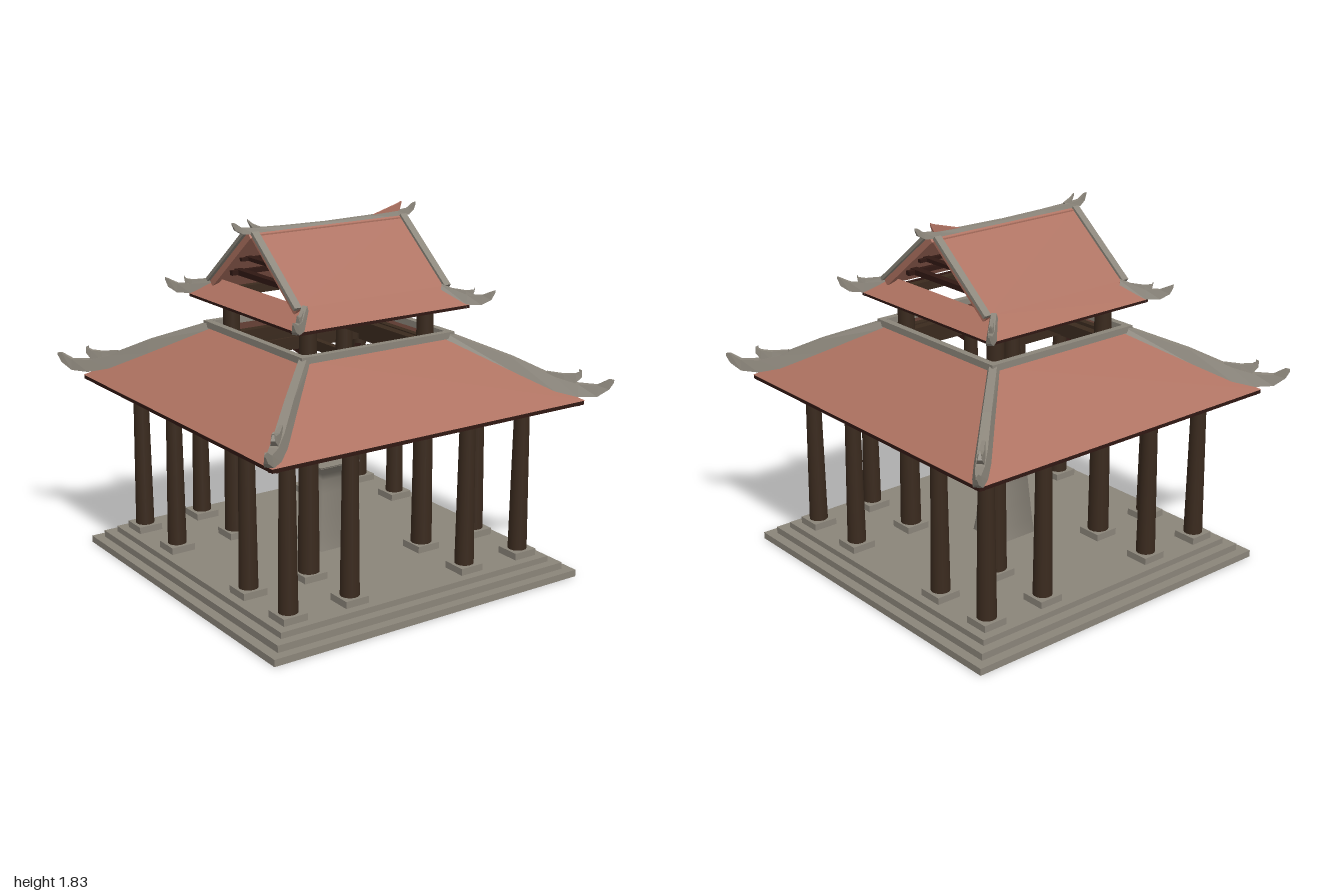
import * as THREE from 'three';

const mat = (name, color, side = THREE.FrontSide) => {
  const m = new THREE.MeshStandardMaterial({ color, side });
  m.name = name;
  return m;
};

export function createModel() {
  const stone = mat('stone', 0x8b857a, THREE.DoubleSide);
  const tile = mat('terracotta tile', 0xad7160, THREE.DoubleSide);
  const wood = mat('dark wood', 0x3a2a1e);
  const redWood = mat('dark red wood', 0x301813);

  const model = new THREE.Group();
  model.name = 'pavilion';

  const add = (name, geo, material, x = 0, y = 0, z = 0, parent = model) => {
    const mesh = new THREE.Mesh(geo, material);
    mesh.name = name;
    mesh.position.set(x, y, z);
    parent.add(mesh);
    return mesh;
  };
  // box between two heights
  const block = (name, material, w, d, y0, y1, x = 0, z = 0) =>
    add(name, new THREE.BoxGeometry(w, y1 - y0, d), material, x, (y0 + y1) / 2, z);

  // four-sided turned shape from [half width, height] points
  const squareLathe = profile => new THREE.LatheGeometry(
    profile.map(([r, y]) => new THREE.Vector2(r * Math.SQRT2, y)), 4).rotateY(Math.PI / 4);
  const flat = geo => {
    const g = geo.toNonIndexed();
    g.computeVertexNormals();
    return g;
  };

  // tapering bar along +x through sections [distance, base height, half width, height]
  const sweep = (sections, scale = 1) => {
    const rings = sections.map(([x, y, w, h]) => [
      [x * scale, y, -w], [x * scale, y, w], [x * scale, y + h, w * 0.6], [x * scale, y + h, -w * 0.6]]);
    const pos = [];
    const tri = (...pts) => pts.forEach(p => pos.push(...p));
    for (let s = 0; s + 1 < rings.length; s++) {
      const a = rings[s], b = rings[s + 1];
      for (let i = 0; i < 4; i++) {
        const j = (i + 1) % 4;
        tri(a[i], b[i], a[j]);
        tri(a[j], b[i], b[j]);
      }
    }
    const a = rings[0], b = rings[rings.length - 1];
    tri(a[0], a[1], a[2]); tri(a[0], a[2], a[3]);
    tri(b[0], b[2], b[1]); tri(b[0], b[3], b[2]);
    const geo = new THREE.BufferGeometry();
    geo.setAttribute('position', new THREE.Float32BufferAttribute(pos, 3));
    geo.computeVertexNormals();
    return geo;
  };
  // one copy per corner, running out along the diagonals
  const onCorners = (name, sections, material) => {
    const geo = sweep(sections, Math.SQRT2);
    for (let k = 0; k < 4; k++) add(name, geo, material).rotation.y = Math.PI / 4 + k * Math.PI / 2;
  };
  // four boards around a square
  const squareFrame = (name, material, r, t, y0, y1) => {
    for (const s of [-1, 1]) {
      block(name, material, 2 * r + t, t, y0, y1, 0, s * r);
      block(name, material, t, 2 * r - t, y0, y1, s * r, 0);
    }
  };

  // stepped platform, hollow underneath
  add('steppedPlatform', flat(squareLathe([[0.9, 0], [0.9, 0.035], [0.85, 0.035], [0.85, 0.07],
    [0.8, 0.07], [0.8, 0.1], [0, 0.1]])), stone);

  // columns on stone pads, the inner four rising to the upper roof
  const grid = [-0.69, -0.345, 0.345, 0.69];
  for (const x of grid) for (const z of grid) {
    const inner = Math.abs(x) < 0.5 && Math.abs(z) < 0.5;
    const top = inner ? 1.4 : 1.03;
    block('columnPad', stone, 0.13, 0.13, 0.1, 0.135, x, z);
    add(inner ? 'innerColumn' : 'outerColumn',
      new THREE.CylinderGeometry(inner ? 0.041 : 0.036, inner ? 0.054 : 0.048, top - 0.135, 16),
      wood, x, (top + 0.135) / 2, z);
  }

  // flared central pedestal
  add('pedestal', squareLathe([[0.113, 0.1], [0.103, 0.17], [0.095, 0.28], [0.086, 0.4], [0.083, 0.47],
    [0.095, 0.505], [0.12, 0.55]]), stone);
  add('pedestalTop', new THREE.BoxGeometry(0.236, 0.006, 0.236), stone, 0, 0.546, 0);

  // lower roof
  add('lowerRoof', flat(squareLathe([[0.905, 0.925], [0.42, 1.22]])), tile);
  squareFrame('lowerEaveBoard', redWood, 0.893, 0.018, 0.905, 0.922);
  squareFrame('lowerRoofTrim', stone, 0.43, 0.035, 1.21, 1.243);
  onCorners('lowerHip', [[0.41, 1.205, 0.03, 0.04], [0.65, 1.065, 0.034, 0.065], [0.8, 0.975, 0.038, 0.065],
    [0.88, 0.95, 0.034, 0.06], [0.945, 0.953, 0.022, 0.055], [0.985, 0.99, 0.01, 0.05],
    [1, 1.025, 0.003, 0.012]], stone);
  onCorners('lowerHipCurl', [[0.77, 1.035, 0.012, 0.03], [0.83, 1.01, 0.02, 0.045],
    [0.87, 1.015, 0.018, 0.045], [0.89, 1.045, 0.01, 0.03], [0.88, 1.075, 0.003, 0.008]], stone);

  // beams and brackets under the lower roof
  squareFrame('eaveBeam', wood, 0.8, 0.03, 0.93, 0.965);
  squareFrame('outerRingBeam', wood, 0.69, 0.045, 0.94, 1.01);
  squareFrame('middleRingBeam', wood, 0.52, 0.035, 1.1, 1.14);
  squareFrame('innerRingBeam', wood, 0.345, 0.045, 1.12, 1.19);
  for (const s of [-1, 1]) for (const c of [-1, 1]) {
    block('tieBeam', wood, 0.345, 0.035, 0.94, 0.995, s * 0.5175, c * 0.345);
    block('tieBeam', wood, 0.035, 0.345, 0.94, 0.995, c * 0.345, s * 0.5175);
  }
  onCorners('hipRafter', [[0.36, 1.19, 0.025, 0.04], [0.88, 0.9, 0.025, 0.025]], wood);
  onCorners('cornerBracket', [[0.66, 0.865, 0.025, 0.05], [0.89, 0.903, 0.02, 0.015]], redWood);
  const bracket = sweep([[0.66, 0.87, 0.022, 0.05], [0.88, 0.905, 0.018, 0.02]]);
  const rafter = sweep([[0.42, 1.17, 0.02, 0.035], [0.88, 0.903, 0.02, 0.025]]);
  for (let k = 0; k < 4; k++) {
    const side = new THREE.Group();
    side.name = 'eaveSupports';
    side.rotation.y = k * Math.PI / 2;
    for (const z of [-0.345, 0.345]) {
      add('eaveBracket', bracket, redWood, 0, 0, z, side);
      add('rafter', rafter, wood, 0, 0, z, side);
    }
    model.add(side);
  }

  // upper roof skirt
  add('upperRoofSkirt', flat(squareLathe([[0.508, 1.383], [0.395, 1.465]])), tile);
  squareFrame('upperEaveBoard', redWood, 0.49, 0.016, 1.365, 1.381);
  squareFrame('upperRingBeam', wood, 0.345, 0.04, 1.375, 1.42);
  onCorners('upperRafter', [[0.33, 1.36, 0.018, 0.06], [0.49, 1.365, 0.016, 0.02]], redWood);
  onCorners('upperHip', [[0.4, 1.445, 0.02, 0.03], [0.49, 1.385, 0.024, 0.045], [0.54, 1.385, 0.018, 0.045],
    [0.573, 1.41, 0.01, 0.04], [0.585, 1.445, 0.003, 0.012]], stone);
  onCorners('upperHipCurl', [[0.43, 1.44, 0.008, 0.02], [0.485, 1.42, 0.014, 0.03],
    [0.51, 1.43, 0.01, 0.025], [0.515, 1.46, 0.003, 0.008]], stone);

  // gabled slopes with verges and barge boards
  const [topZ, topY, footZ, footY] = [0.03, 1.758, 0.395, 1.46];
  const pitch = Math.atan2(topY - footY, footZ - topZ), length = Math.hypot(topY - footY, footZ - topZ);
  for (const s of [-1, 1]) {
    const slope = new THREE.Group();
    slope.name = s > 0 ? 'frontSlope' : 'backSlope';
    slope.position.set(0, (topY + footY) / 2, s * (topZ + footZ) / 2);
    slope.rotation.x = s * pitch;
    add('roofSlope', new THREE.BoxGeometry(0.86, 0.012, length), tile, 0, -0.006, 0, slope);
    for (const x of [-1, 1]) {
      add('verge', new THREE.BoxGeometry(0.038, 0.018, length), stone, x * 0.436, 0.003, 0, slope);
      add('bargeBoard', new THREE.BoxGeometry(0.025, 0.034, length), tile, x * 0.425, -0.023, 0, slope);
    }
    model.add(slope);
    // purlins level with the gable beams
    block('purlin', redWood, 0.8, 0.025, 1.502, 1.525, 0, s * 0.25);
    block('purlin', redWood, 0.8, 0.022, 1.588, 1.604, 0, s * 0.155);
  }
  for (const x of [-0.345, -0.115, 0.115, 0.345]) {
    block('gableBeam', redWood, 0.04, 0.55, 1.5, 1.527, x, 0);
    block('gableBeam', redWood, 0.035, 0.35, 1.587, 1.606, x, 0);
  }

  // main ridge with upturned ends
  block('ridgeCap', tile, 0.85, 0.09, 1.728, 1.752);
  const ridge = sweep([[0, 1.745, 0.027, 0.022], [0.25, 1.747, 0.026, 0.024], [0.42, 1.75, 0.022, 0.028],
    [0.49, 1.755, 0.016, 0.03], [0.525, 1.775, 0.008, 0.035], [0.54, 1.803, 0.003, 0.01]]);
  const curl = sweep([[0.39, 1.775, 0.01, 0.008], [0.43, 1.775, 0.012, 0.025], [0.455, 1.812, 0.003, 0.01]]);
  const fin = sweep([[0.27, 1.765, 0.006, 0.006], [0.43, 1.77, 0.01, 0.045], [0.45, 1.815, 0.003, 0.01]]);
  add('ridge', ridge, stone);
  add('ridge', ridge, stone).rotation.y = Math.PI;
  add('ridgeFin', fin, tile);
  add('ridgeCurl', curl, stone).rotation.y = Math.PI;

  return model;
}
